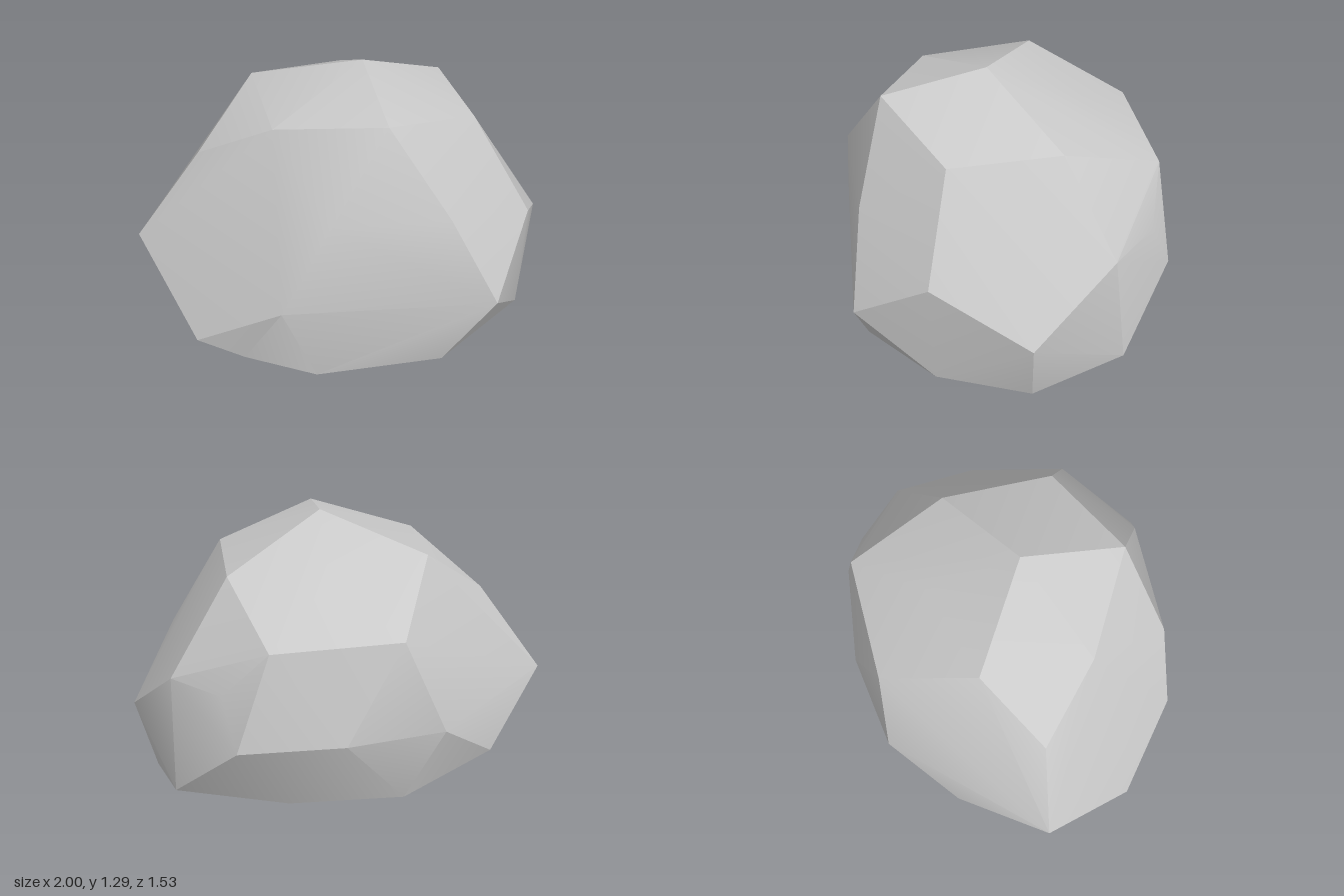
import * as THREE from 'three';
import { ConvexGeometry } from 'three/addons/geometries/ConvexGeometry.js';
import { toCreasedNormals } from 'three/addons/utils/BufferGeometryUtils.js';

// Corners of the boulder, in rings from the crown down to the base
const crown = [
  [0.08, 1.295, 0.07], [0.08, 1.187, 0.56], [0.55, 1.073, 0.32], [0.535, 1.08, -0.21],
  [0.08, 1.1, -0.36], [-0.395, 1.15, -0.21], [-0.395, 1.11, 0.315],
];
const shoulder = [
  [0.34, 0.76, 0.7], [0.8, 0.602, 0.44], [0.81, 0.67, -0.405], [0.375, 0.895, -0.69],
  [0.586, 0.67, -0.622], [-0.23, 0.91, -0.655], [-0.7, 0.885, 0.035], [-0.215, 0.8, 0.712],
];
const waist = [
  [0.555, 0.325, 0.765], [1, 0.36, 0], [0.53, 0.43, -0.725], [0.04, 0.46, -0.765],
  [-0.42, 0.47, -0.675], [-1, 0.46, 0], [-0.447, 0.385, 0.717],
];
const base = [
  [0.32, 0, 0.69], [0.775, 0.078, 0.415], [0.9, 0.025, -0.015], [0.81, 0.12, -0.46],
  [0.29, 0.097, -0.6], [-0.24, 0.115, -0.625], [-0.69, 0.21, -0.39],
  [-0.8, 0.11, 0.01], [-0.8, 0.12, 0.45], [-0.6, 0.09, 0.59], [-0.29, 0.035, 0.725],
];

export function createModel() {
  const group = new THREE.Group();
  group.name = 'rock';

  const stone = new THREE.MeshStandardMaterial({ color: 0xcacaca });
  stone.name = 'pale grey stone';

  // Faceted body: shallow edges are softened, strong ridges stay sharp
  const points = [...crown, ...shoulder, ...waist, ...base].map((p) => new THREE.Vector3(...p));
  const boulder = new THREE.Mesh(toCreasedNormals(new ConvexGeometry(points), 0.43), stone);
  boulder.name = 'boulder';
  group.add(boulder);

  return group;
}
